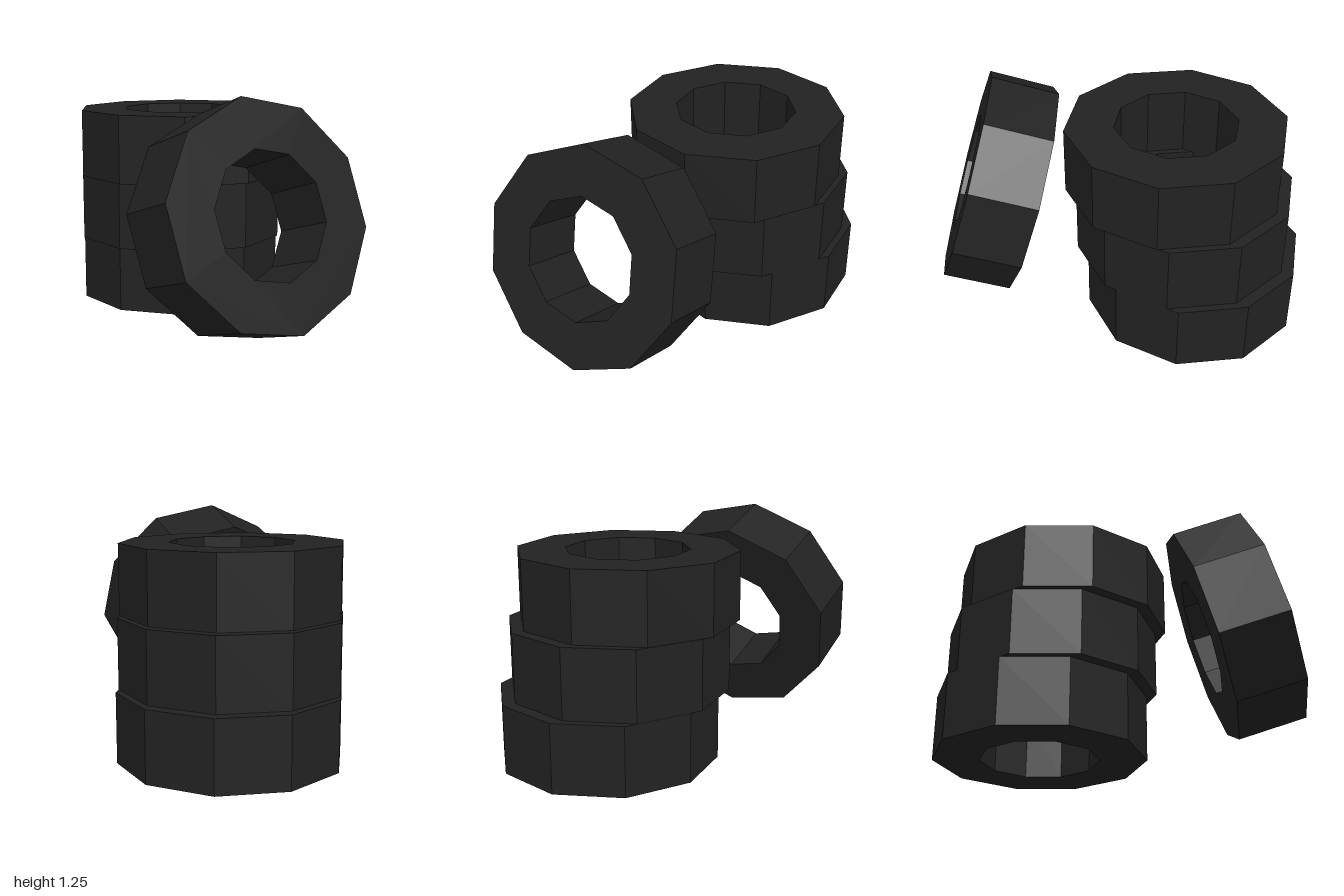
import * as THREE from 'three';

const SIDES = 10, OUTER = 0.59, INNER = 0.33, WIDTH = 0.37;

// Regular polygon with its first corner on +x
function polygon(radius) {
  return Array.from({ length: SIDES }, (_, i) => {
    const a = (i / SIDES) * Math.PI * 2;
    return new THREE.Vector2(Math.cos(a) * radius, Math.sin(a) * radius);
  });
}

// Faceted ring centred on the origin, axle along z
function tyreGeometry() {
  const shape = new THREE.Shape(polygon(OUTER));
  shape.holes.push(new THREE.Path(polygon(INNER).reverse()));
  const geometry = new THREE.ExtrudeGeometry(shape, { depth: WIDTH, bevelEnabled: false });
  geometry.translate(0, 0, -WIDTH / 2);
  return geometry;
}

export function createModel() {
  const group = new THREE.Group();
  group.name = 'tyrePile';
  const rubber = new THREE.MeshStandardMaterial({ color: 0x222222 });
  rubber.name = 'black rubber';
  const geometry = tyreGeometry();

  // Three tyres lying flat, each slightly shifted
  const stack = [
    ['bottomTyre', -0.41, -0.198],
    ['middleTyre', -0.355, -0.16],
    ['topTyre', -0.3, -0.127],
  ];
  stack.forEach(([name, x, z], i) => {
    const tyre = new THREE.Mesh(geometry, rubber);
    tyre.name = name;
    tyre.rotation.x = -Math.PI / 2;
    tyre.position.set(x, WIDTH * (i + 0.5), z);
    group.add(tyre);
  });

  // Tyre leaning against the stack: axle direction and one corner direction
  const leaning = new THREE.Mesh(geometry, rubber);
  leaning.name = 'leaningTyre';
  const axle = new THREE.Vector3(0.35, 0.11, 0.03).normalize();
  const corner = new THREE.Vector3(-0.18, 0.56, 0.0475);
  const side = new THREE.Vector3().crossVectors(axle, corner).normalize();
  corner.crossVectors(side, axle);
  leaning.quaternion.setFromRotationMatrix(new THREE.Matrix4().makeBasis(corner, side, axle));
  leaning.position.set(0.642, 0.63, 0.173);
  group.add(leaning);

  return group;
}
